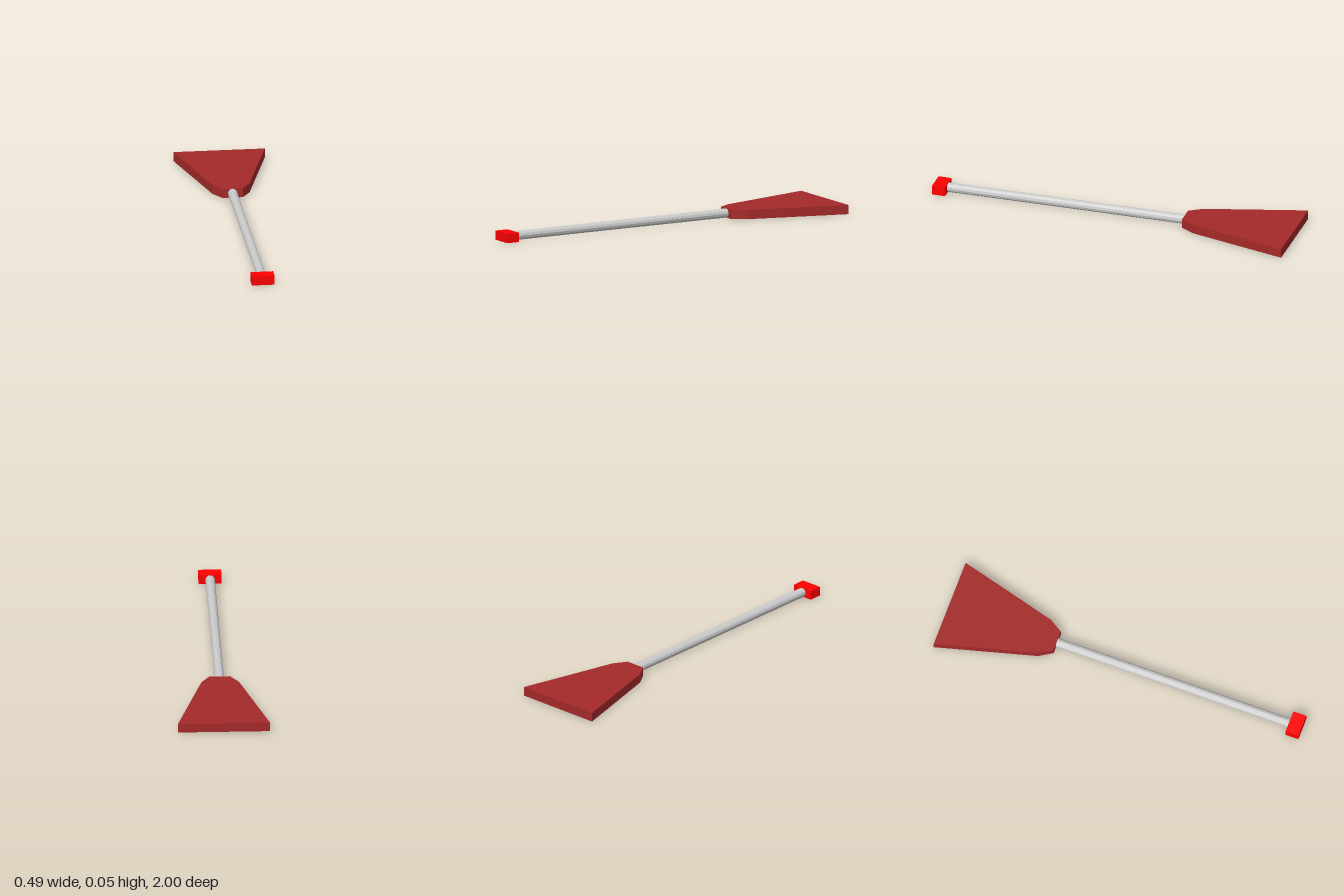
import * as THREE from 'three';

const THICK = 0.05;

export function createModel() {
  const group = new THREE.Group();
  const add = (name, geometry, color) => {
    const material = new THREE.MeshStandardMaterial({ color, flatShading: true });
    const mesh = new THREE.Mesh(geometry, material);
    mesh.name = name;
    group.add(mesh);
    return mesh;
  };

  // Flat flared blade: half outline as (x, z), mirrored across x = 0
  const half = [[0.245, -1], [0.1, -0.463], [0.055, -0.39]];
  const outline = [...half, ...half.map(([x, z]) => [-x, z]).reverse()];
  const shape = new THREE.Shape(outline.map(([x, z]) => new THREE.Vector2(x, z)));
  const blade = new THREE.ExtrudeGeometry(shape, { depth: THICK, bevelEnabled: false });
  blade.rotateX(Math.PI / 2).translate(0, THICK, 0);
  add('blade', blade, 0xa52a2a);

  // Long round handle between blade and grip
  const from = -0.39, to = 0.93;
  const shaft = new THREE.CylinderGeometry(0.025, 0.025, to - from, 12);
  shaft.rotateX(Math.PI / 2);
  add('shaft', shaft, 0xcccccc).position.set(0, THICK / 2, (from + to) / 2);

  // Crosswise grip block at the front end
  add('grip', new THREE.BoxGeometry(0.122, THICK, 0.073), 0xff0000)
    .position.set(0, THICK / 2, 0.9635);

  return group;
}
